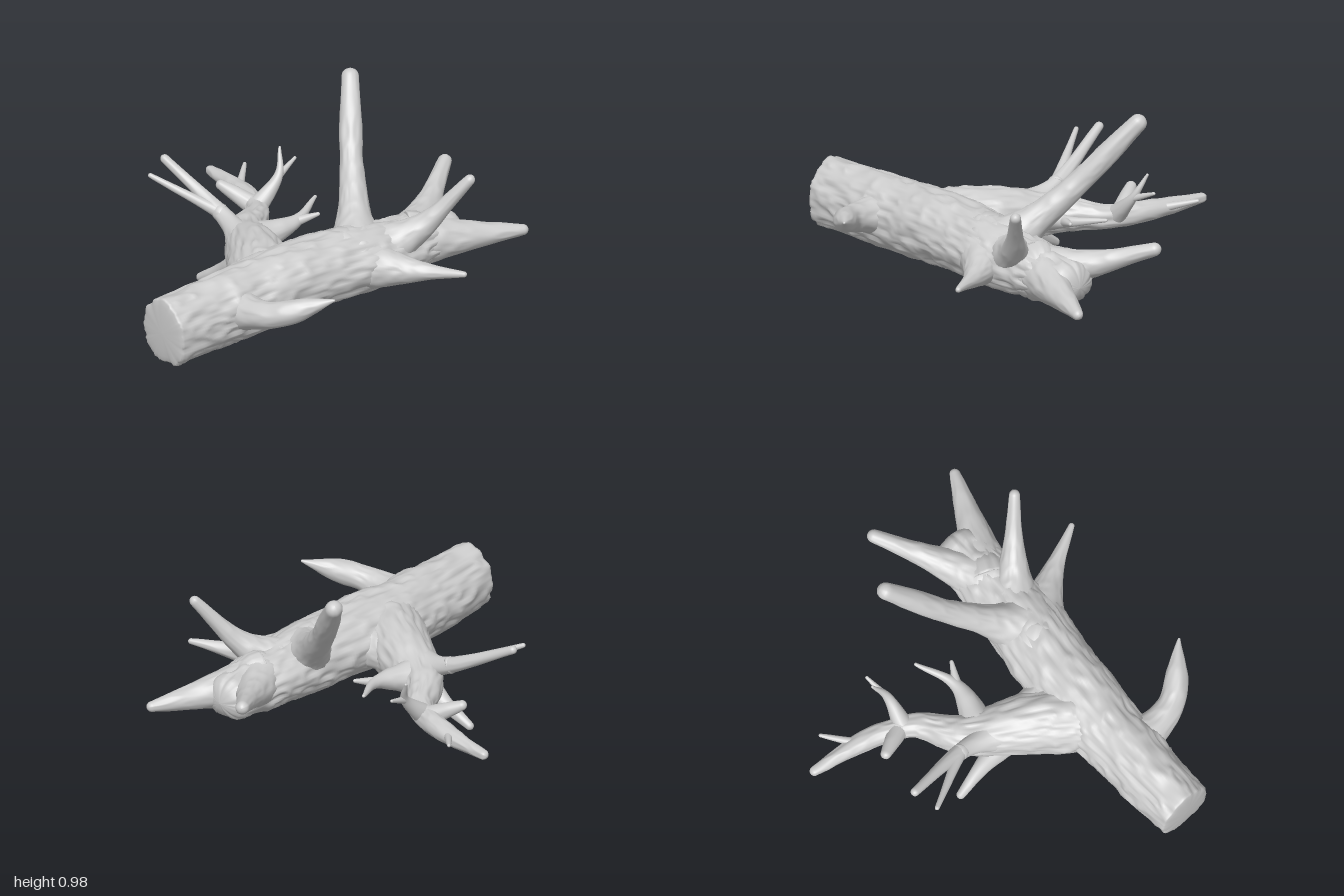
import * as THREE from 'three';

const material = new THREE.MeshStandardMaterial({ color: 0xcccccc, roughness: 0.9 });

// Seeded value noise, smooth in 3D, range 0..1
function hash(x, y, z) {
  const s = Math.sin(x * 127.1 + y * 311.7 + z * 74.7) * 43758.5;
  return s - Math.floor(s);
}
function noise(x, y, z) {
  const i = Math.floor(x), j = Math.floor(y), k = Math.floor(z);
  const ease = (t) => t * t * (3 - 2 * t);
  const u = ease(x - i), v = ease(y - j), w = ease(z - k);
  const mix = THREE.MathUtils.lerp;
  const row = (b, c) => mix(hash(i, j + b, k + c), hash(i + 1, j + b, k + c), u);
  return mix(mix(row(0, 0), row(1, 0), v), mix(row(0, 1), row(1, 1), v), w);
}

const spline = (vectors) => new THREE.CatmullRomCurve3(vectors, false, 'catmullrom');

// Limb swept along points, with radii spread evenly from base to tip.
// flat: height ratio at base and tip; cap: roundness of both ends.
function limb(name, points, radii, { bark = 0.6, flat = [1, 1], cap = [1, 1], floor = -1 } = {}) {
  const path = spline(points);
  const size = spline(radii.map((r) => new THREE.Vector3(r, 0, 0)));
  const length = path.getLength(), up = new THREE.Vector3(0, 1, 0);
  const sides = Math.round(14 + radii[1] * 380), steps = Math.round(8 + length * 70);

  // Rings as [path parameter, radius scale, offset along the tangent in radii]
  const rings = [], capRings = 5;
  for (let i = -capRings; i <= steps + capRings; i++) {
    const t = THREE.MathUtils.clamp(i / steps, 0, 1);
    const over = i < 0 ? i : Math.max(i - steps, 0);
    const a = (over / capRings) * Math.PI / 2;
    rings.push([t, Math.cos(a), Math.sin(a) * cap[i < 0 ? 0 : 1]]);
  }

  const pos = [], index = [];
  rings.forEach(([t, scale, offset], r) => {
    const T = path.getTangent(t), radius = Math.max(size.getPoint(t).x, 0.005);
    const height = radius * THREE.MathUtils.lerp(flat[0], flat[1], t);
    const center = path.getPoint(t).addScaledVector(T, offset * radius);
    const R = new THREE.Vector3().crossVectors(T, up).normalize();
    const U = new THREE.Vector3().crossVectors(R, T);
    for (let j = 0; j < sides; j++) {
      const a = (j / sides) * Math.PI * 2, ca = Math.cos(a), sa = Math.sin(a);
      // Long ridges running with the grain, over slower lumps
      const px = ca * radius * 38 + 20, py = sa * height * 38 + 20, along = t * length;
      const ridge = 1 - Math.abs(2 * noise(px, py, along * 9) - 1);
      const lump = noise(px / 4, py / 4, along * 5) - 0.5;
      const d = bark * Math.min(0.022, radius * 0.16) * (ridge - 0.65 + lump) * scale;
      const low = Math.max(sa, floor + 0.12 * lump);
      const v = center.clone()
        .addScaledVector(R, ca * (radius * scale + d))
        .addScaledVector(U, low * (height * scale + d));
      pos.push(v.x, Math.max(v.y, 0), v.z);
      if (r < rings.length - 1) {
        const k = (j + 1) % sides, A = r * sides, B = A + sides;
        index.push(A + j, B + j, A + k, A + k, B + j, B + k);
      }
    }
  });
  const geo = new THREE.BufferGeometry();
  geo.setAttribute('position', new THREE.Float32BufferAttribute(pos, 3));
  geo.setIndex(index);
  geo.computeVertexNormals();
  const mesh = new THREE.Mesh(geo, material);
  mesh.name = name;
  return { mesh, path };
}

export function createModel() {
  const tree = new THREE.Group();
  tree.name = 'fallenTree';
  const point = (p) => new THREE.Vector3(...p);

  // Adds a limb that starts inside its parent at parameter t and runs through the given points
  function grow(name, parent, t, through, radii, options) {
    const child = limb(name, [parent.path.getPoint(t), ...through.map(point)], radii, options);
    tree.add(child.mesh);
    return child;
  }

  // Trunk, sawn flat at the front and worn flat underneath
  const trunk = limb('trunk',
    [[-0.305, 0.25, 0.975], [-0.13, 0.26, 0.58], [0.06, 0.29, 0.2], [0.31, 0.295, -0.2], [0.5, 0.285, -0.58]].map(point),
    [0.148, 0.17, 0.19, 0.18, 0.14],
    { bark: 1, flat: [1.15, 0.75], cap: [0.1, 0.55], floor: -0.9 });
  tree.add(trunk.mesh);

  // Prongs, tall branch, spikes and stub on the trunk
  grow('backProng', trunk, 0.87, [[0.375, 0.36, -0.67], [0.335, 0.46, -0.965]], [0.14, 0.085, 0.052, 0.035]);
  grow('sideProng', trunk, 0.87, [[0.85, 0.28, -0.755]], [0.15, 0.125, 0.07, 0.028]);
  grow('tallBranch', trunk, 0.69, [[0.08, 0.59, -0.42], [-0.068, 0.945, -0.73]], [0.17, 0.085, 0.062, 0.057, 0.042]);
  grow('upperSpike', trunk, 0.75, [[0.52, 0.44, -0.3], [0.73, 0.69, -0.385]], [0.15, 0.085, 0.045, 0.028]);
  grow('lowerSpike', trunk, 0.65, [[0.51, 0.28, -0.105], [0.82, 0.31, -0.118]], [0.17, 0.1, 0.045, 0.015]);
  grow('brokenStub', trunk, 0.24, [[0.15, 0.315, 0.7], [0.45, 0.418, 0.618]], [0.15, 0.09, 0.066, 0.055, 0.007]);

  // Long crooked limb on the right side, with a web filling its fork
  const crooked = grow('crookedLimb', trunk, 0.375,
    [[-0.15, 0.275, 0.18], [-0.37, 0.27, -0.16], [-0.43, 0.265, -0.42], [-0.6, 0.265, -0.61], [-0.84, 0.26, -0.775]],
    [0.15, 0.16, 0.105, 0.06, 0.05, 0.025], { bark: 0.9 });
  grow('forkWeb', crooked, 0.3, [[-0.04, 0.28, 0.1], [0.13, 0.28, 0]], [0.1, 0.1, 0.11]);

  // Branches and twigs on the crooked limb
  const outer = grow('outerBranch', crooked, 0.3, [[-0.5, 0.375, -0.14], [-0.845, 0.56, -0.235]], [0.12, 0.055, 0.034, 0.022]);
  grow('outerBranchFork', outer, 0.5, [[-0.865, 0.52, -0.108]], [0.045, 0.025, 0.012]);
  grow('downwardBranch', crooked, 0.27, [[-0.42, 0.13, -0.04], [-0.59, 0.025, -0.1]], [0.09, 0.045, 0.022]);
  grow('knob', crooked, 0.66, [[-0.65, 0.35, -0.475]], [0.06, 0.045, 0.026]);
  const upper = grow('upperTwig', crooked, 0.64, [[-0.39, 0.4, -0.58], [-0.412, 0.525, -0.65]], [0.055, 0.023, 0.007]);
  grow('upperTwigFork', upper, 0.5, [[-0.355, 0.455, -0.705]], [0.02, 0.008]);
  const inner = grow('innerTwig', crooked, 0.36, [[-0.175, 0.32, -0.3], [-0.165, 0.36, -0.525]], [0.1, 0.034, 0.009]);
  grow('innerTwigFork', inner, 0.5, [[-0.08, 0.35, -0.37]], [0.028, 0.01]);
  grow('tipTwig', crooked, 0.82, [[-0.675, 0.31, -0.815]], [0.035, 0.02, 0.009]);
  return tree;
}
